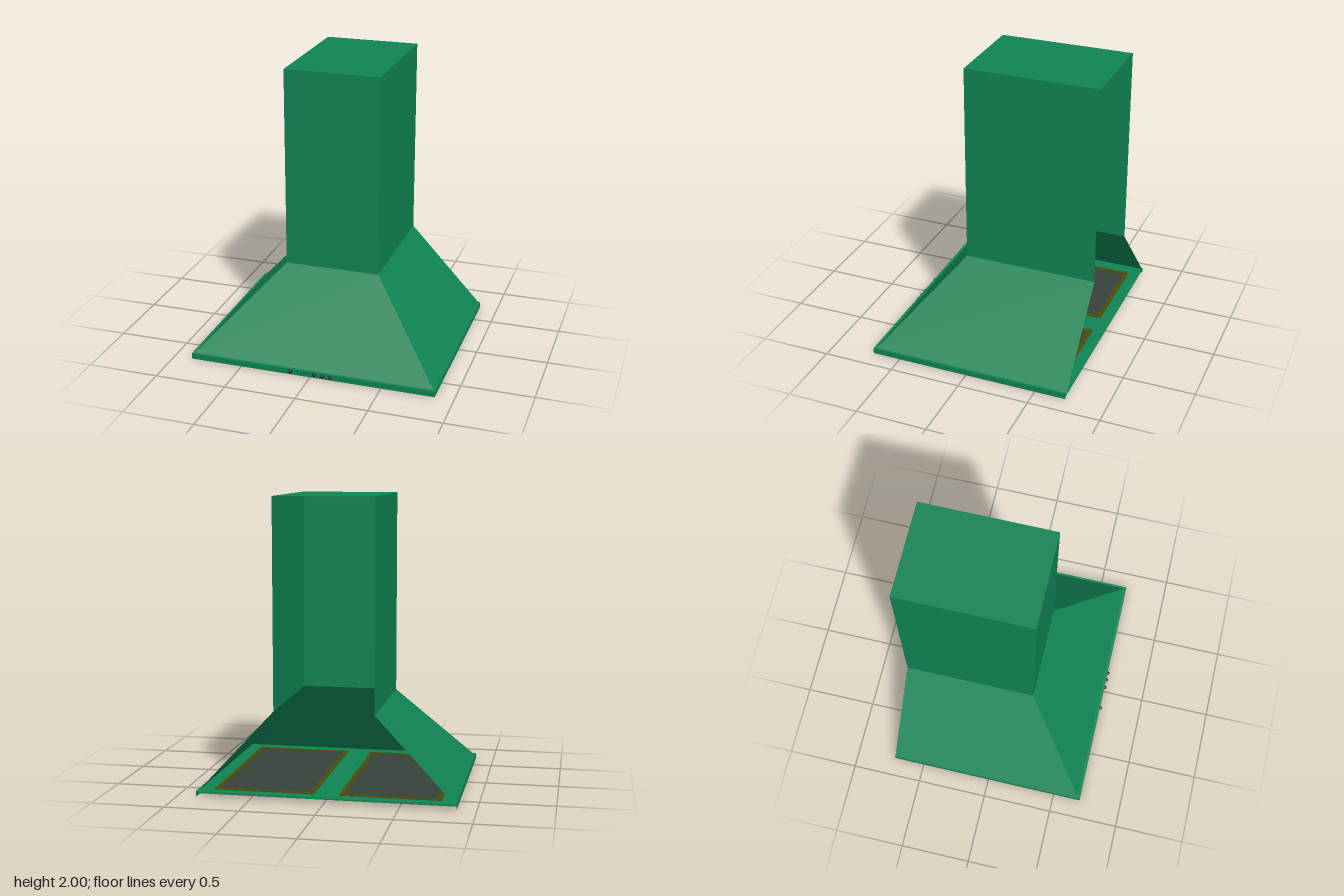
import * as THREE from 'three';

const BACK = -0.72;
const green = new THREE.MeshStandardMaterial({ color: 0x0f8453, side: THREE.DoubleSide });
const frameMat = new THREE.MeshStandardMaterial({ color: 0x4c4c08 });
const filterMat = new THREE.MeshStandardMaterial({ color: 0x36423a });
const buttonMat = new THREE.MeshStandardMaterial({ color: 0x3a1048 });

// Three-sided sheet, open at the back, lofted through levels of [half width, front z, y]
function openLoft(name, levels) {
  const ring = ([w, f, y]) => [[-w, y, BACK], [-w, y, f], [w, y, f], [w, y, BACK]];
  const pos = [];
  for (let l = 0; l < levels.length - 1; l++) {
    const lo = ring(levels[l]), hi = ring(levels[l + 1]);
    for (let i = 0; i < 3; i++) {
      pos.push(...lo[i], ...lo[i + 1], ...hi[i + 1], ...lo[i], ...hi[i + 1], ...hi[i]);
    }
  }
  const geo = new THREE.BufferGeometry();
  geo.setAttribute('position', new THREE.Float32BufferAttribute(pos, 3));
  geo.computeVertexNormals();
  const mesh = new THREE.Mesh(geo, green);
  mesh.name = name;
  return mesh;
}

function rect(path, x0, x1, z0, z1) {
  return path.moveTo(x0, -z0).lineTo(x0, -z1).lineTo(x1, -z1).lineTo(x1, -z0).closePath();
}

// Flat horizontal panel with rectangular holes, its underside at y
function panel(name, outer, holes, y, thickness, material) {
  const shape = rect(new THREE.Shape(), ...outer);
  holes.forEach(h => shape.holes.push(rect(new THREE.Path(), ...h)));
  const geo = new THREE.ExtrudeGeometry(shape, { depth: thickness, bevelEnabled: false });
  geo.rotateX(-Math.PI / 2).translate(0, y, 0);
  const mesh = new THREE.Mesh(geo, material);
  mesh.name = name;
  return mesh;
}

export function createModel() {
  const hood = new THREE.Group();
  hood.name = 'rangeHood';

  // Shell: rim with a narrow ledge, sloped canopy, chimney
  hood.add(openLoft('rim', [[0.87, 0.7, 0], [0.87, 0.7, 0.04], [0.855, 0.68, 0.04]]));
  hood.add(openLoft('canopy', [[0.855, 0.68, 0.04], [0.335, 0.215, 0.6]]));
  hood.add(openLoft('chimney', [[0.335, 0.215, 0.6], [0.335, 0.215, 2]]));

  // Chimney lid
  const lid = new THREE.Mesh(new THREE.PlaneGeometry(0.67, 0.215 - BACK), green);
  lid.name = 'chimneyLid';
  lid.rotation.x = -Math.PI / 2;
  lid.position.set(0, 2, (0.215 + BACK) / 2);
  hood.add(lid);

  // Bottom plate with two framed filters
  const inset = 0.03;
  const openings = [[-0.765, -0.085, -0.64, 0.595], [0.085, 0.765, -0.64, 0.595]];
  hood.add(panel('bottomPlate', [-0.868, 0.868, BACK, 0.698], openings, 0.025, 0.01, green));
  openings.forEach((o, i) => {
    const side = i ? 'left' : 'right';
    const inner = [o[0] + inset, o[1] - inset, o[2] + inset, o[3] - inset];
    hood.add(panel(side + 'FilterFrame', o, [inner], 0.02, 0.02, frameMat));
    hood.add(panel(side + 'Filter', inner, [], 0.025, 0.01, filterMat));
  });

  // Control buttons on the front of the rim
  const buttons = new THREE.Group();
  buttons.name = 'buttons';
  const ball = new THREE.SphereGeometry(0.014, 16, 12);
  for (const x of [-0.14, 0.03, 0.09, 0.147]) {
    const button = new THREE.Mesh(ball, buttonMat);
    button.name = 'button';
    button.position.set(x, 0.023, 0.7);
    buttons.add(button);
  }
  hood.add(buttons);
  return hood;
}
